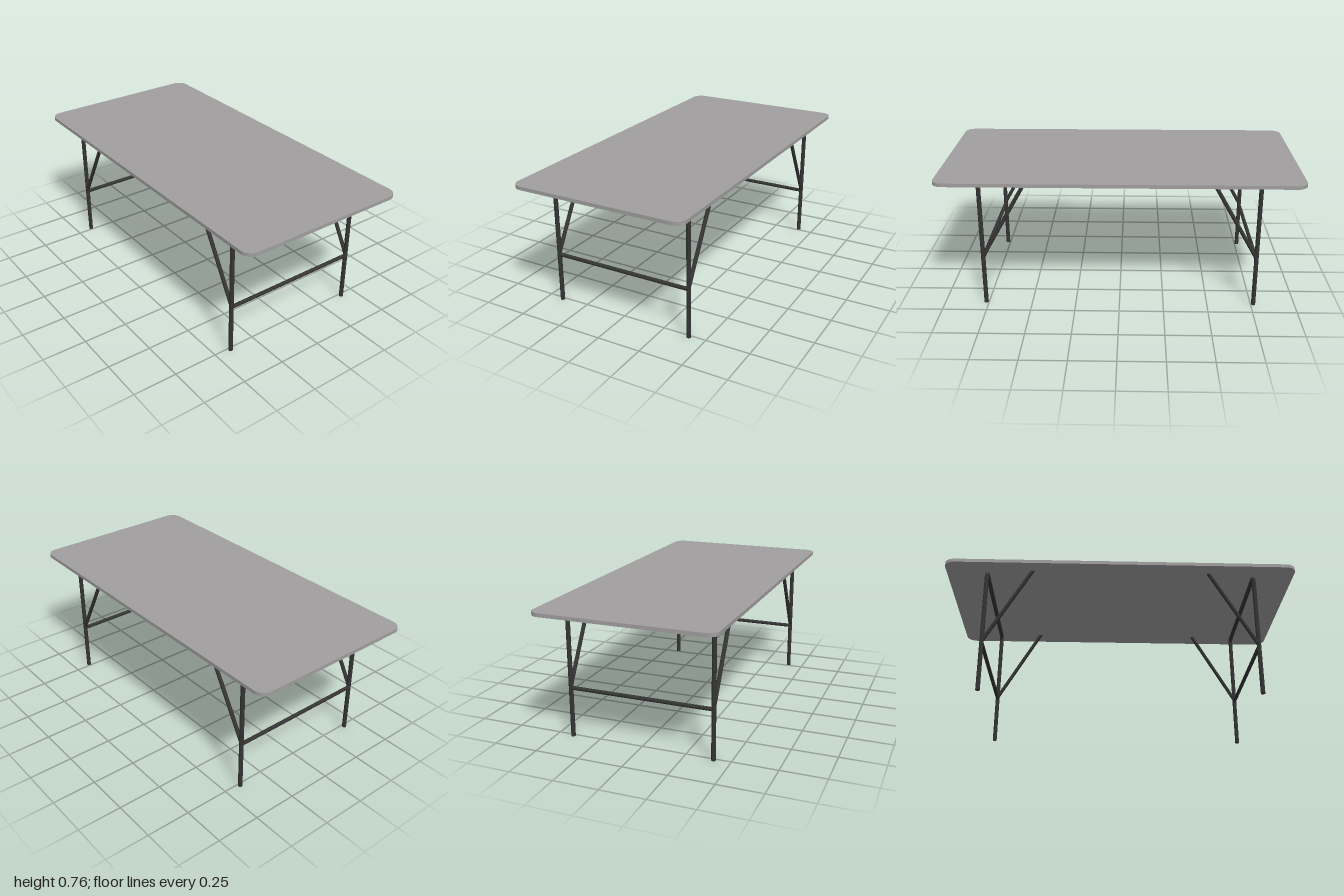
import * as THREE from 'three';

const LEG_X = 0.765, LEG_Z = 0.408, LEG_R = 0.0122;
const BEND = 0.028, RAIL_Y = 0.7275;
const TOP_Y = 0.74, TOP_H = 0.02;

const topMat = new THREE.MeshStandardMaterial({ color: 0xa09e9f });
topMat.name = 'grey tabletop';
const steelMat = new THREE.MeshStandardMaterial({ color: 0x343435 });
steelMat.name = 'dark steel';

// Round bar between two points
function rod(name, a, b, r) {
  const from = new THREE.Vector3(...a), to = new THREE.Vector3(...b);
  const dir = to.clone().sub(from);
  const mesh = new THREE.Mesh(new THREE.CylinderGeometry(r, r, dir.length(), 20), steelMat);
  mesh.position.copy(from).add(to).multiplyScalar(0.5);
  mesh.quaternion.setFromUnitVectors(new THREE.Vector3(0, 1, 0), dir.normalize());
  mesh.name = name;
  return mesh;
}

// Thin slab with rounded corners
function tabletop() {
  const w = 1, d = 0.5, r = 0.06;
  const s = new THREE.Shape();
  s.absarc(w - r, d - r, r, 0, Math.PI / 2);
  s.absarc(-w + r, d - r, r, Math.PI / 2, Math.PI);
  s.absarc(-w + r, -d + r, r, Math.PI, Math.PI * 1.5);
  s.absarc(w - r, -d + r, r, Math.PI * 1.5, Math.PI * 2);
  const geo = new THREE.ExtrudeGeometry(s, { depth: TOP_H, bevelEnabled: false, curveSegments: 12 });
  geo.rotateX(-Math.PI / 2);
  const mesh = new THREE.Mesh(geo, topMat);
  mesh.position.y = TOP_Y;
  mesh.name = 'tabletop';
  return mesh;
}

// Bent-tube trestle with crossbar and two diagonal braces
function trestle(side) {
  const g = new THREE.Group();
  g.name = side > 0 ? 'leftTrestle' : 'rightTrestle';
  const x = side * LEG_X;
  for (const s of [1, -1]) {
    const z = s * LEG_Z;
    g.add(rod(s > 0 ? 'frontLeg' : 'backLeg', [x, 0, z], [x, RAIL_Y - BEND, z], LEG_R));

    const bend = new THREE.Mesh(new THREE.TorusGeometry(BEND, LEG_R, 20, 12, Math.PI / 2), steelMat);
    bend.rotation.y = -s * Math.PI / 2;
    bend.position.set(x, RAIL_Y - BEND, s * (LEG_Z - BEND));
    bend.name = s > 0 ? 'frontBend' : 'backBend';
    g.add(bend);

    g.add(rod(s > 0 ? 'frontBrace' : 'backBrace',
      [x, 0.292, z], [side * 0.505, TOP_Y + 0.006, z], 0.0108));
  }
  g.add(rod('topRail', [x, RAIL_Y, LEG_Z - BEND], [x, RAIL_Y, BEND - LEG_Z], LEG_R));
  g.add(rod('crossbar', [x, 0.283, LEG_Z], [x, 0.283, -LEG_Z], 0.0108));
  return g;
}

export function createModel() {
  const table = new THREE.Group();
  table.name = 'table';
  table.add(tabletop(), trestle(1), trestle(-1));
  return table;
}
